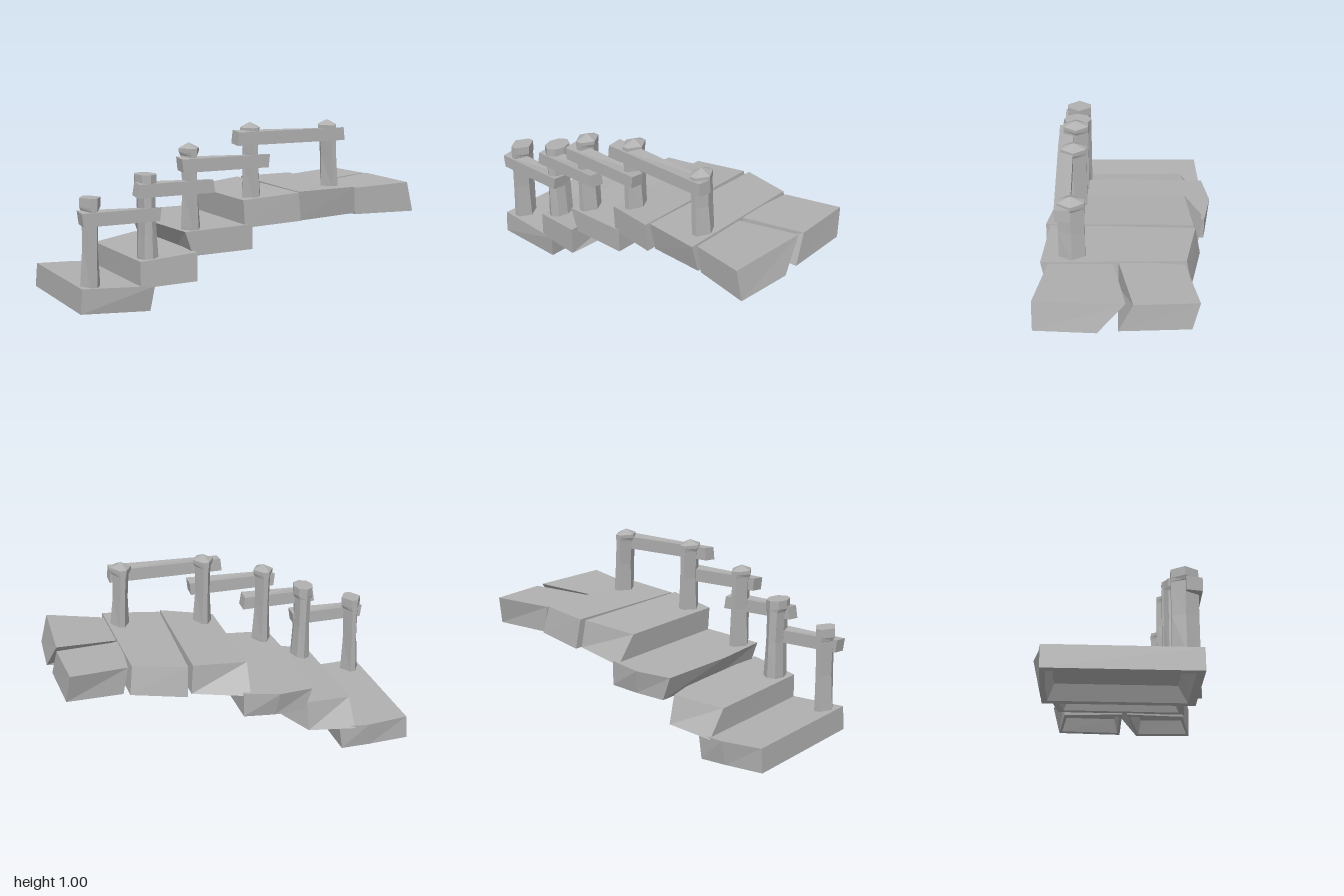
import * as THREE from 'three';

const stone = new THREE.MeshStandardMaterial({ color: 0xb0b0b0, flatShading: true });
stone.name = 'grey stone';

function addMesh(parent, name, geometry) {
  const mesh = new THREE.Mesh(geometry, stone);
  mesh.name = name;
  parent.add(mesh);
  return mesh;
}

// Tilted slab over an [x, z] outline (counter-clockwise from above), hollow underneath.
// top, bottom and shift hold values for the left and right ends; pulls move lower corners.
function slabGeometry({ outline, top, bottom, shift, pulls = [] }) {
  const n = outline.length;
  const xs = outline.map(p => p[0]);
  const min = Math.min(...xs), max = Math.max(...xs);
  const mix = ([a, b], x) => THREE.MathUtils.mapLinear(x, min, max, a, b);
  const upper = outline.map(([x, z]) => [x, mix(top, x), z]);
  const lower = outline.map(([x, z]) => [x + mix(shift, x), mix(bottom, x), z]);
  for (const { corner, x = 0, y = 0, z = 0 } of pulls) {
    lower[corner] = lower[corner].map((v, k) => v + [x, y, z][k]);
  }
  const mean = k => lower.reduce((sum, p) => sum + p[k], 0) / n;
  const cx = mean(0), cz = mean(2);
  const inset = (sx, sz, lift) => lower.map(([x, y, z]) =>
    [cx + (x - cx) * sx, y + lift, cz + (z - cz) * sz]);
  const rings = [upper, lower, inset(0.82, 0.91, 0), inset(0.6, 0.8, 0.08)];
  const index = [];
  for (let r = 0; r < 3; r++) {
    for (let i = 0; i < n; i++) {
      const j = (i + 1) % n, a = r * n, b = a + n;
      index.push(b + i, b + j, a + j, b + i, a + j, a + i);
    }
  }
  for (let i = 1; i < n - 1; i++) {
    index.push(0, i, i + 1);                       // walking surface
    index.push(3 * n, 3 * n + i + 1, 3 * n + i);   // recess ceiling
  }
  const g = new THREE.BufferGeometry();
  g.setAttribute('position', new THREE.Float32BufferAttribute(rings.flat(2), 3));
  g.setIndex(index);
  const flat = g.toNonIndexed();
  flat.computeVertexNormals();
  return flat;
}

// Faceted post, waisted across x only, with a flat or pointed top.
// pinch narrows the front and back facets towards a lozenge.
function addPost(parent, { x, base, top, sides, pinch, cap, lean }) {
  const h = top - base;
  const rings = [[-0.04, 0.95], [0, 0.95], [h * 0.45, 0.74], [h * 0.85, 0.78], [h - 0.07, 0.84], [h - 0.05, 1], [h - cap, 1]];
  const profile = [
    new THREE.Vector2(0, -0.04),
    ...rings.map(([y]) => new THREE.Vector2(0.06, y)),
    new THREE.Vector2(0, h),
  ];
  const g = new THREE.LatheGeometry(profile, sides, Math.PI / 2);
  const p = g.attributes.position;
  const perColumn = profile.length;
  for (let i = 0; i < p.count; i++) {
    const ring = rings[i % perColumn - 1];
    const width = (ring ? ring[1] : 1) * (Math.abs(p.getZ(i)) > 0.01 ? pinch : 1);
    p.setX(i, p.getX(i) * width + lean * (1 - p.getY(i) / h));
  }
  g.scale(1, 1, 1.38);
  g.computeVertexNormals();
  addMesh(parent, 'post', g).position.set(x, base, 0.29);
}

// Roughly hewn beam with slanted ends and a slight twist
function addRail(parent, { from, to, y, z, slant }) {
  const g = new THREE.BoxGeometry(to - from, 0.073, 0.085);
  const p = g.attributes.position;
  for (let i = 0; i < p.count; i++) {
    const sx = Math.sign(p.getX(i)), sy = Math.sign(p.getY(i)), sz = Math.sign(p.getZ(i));
    p.setX(i, p.getX(i) + slant * sy * sx);
    p.setY(i, p.getY(i) + 0.004 * sx * sz);
  }
  g.computeVertexNormals();
  addMesh(parent, 'rail', g).position.set((from + to) / 2, y, z);
}

// Steps from lowest to highest; outlines start at the front left corner
const steps = [
  {
    outline: [[-0.99, 0.38], [-0.58, 0.385], [-0.58, -0.44], [-0.75, -0.47], [-0.99, -0.45]],
    top: [0.155, 0.14], bottom: [0.02, 0], shift: [-0.01, -0.02],
    pulls: [{ corner: 1, z: -0.02 }, { corner: 3, z: 0.02 }],
  },
  {
    outline: [[-0.66, 0.38], [-0.35, 0.43], [-0.36, -0.25], [-0.39, -0.41], [-0.67, -0.34]],
    top: [0.275, 0.315], bottom: [0.13, 0.155], shift: [0, 0],
    pulls: [{ corner: 2, x: 0.07, y: 0.015 }, { corner: 3, z: -0.04 }, { corner: 4, z: -0.12 }],
  },
  {
    outline: [[-0.4, 0.38], [0, 0.39], [0, -0.46], [-0.2, -0.5], [-0.4, -0.46], [-0.42, 0.03]],
    top: [0.42, 0.44], bottom: [0.285, 0.3], shift: [0.05, 0],
    pulls: [{ corner: 3, z: 0.03 }, { corner: 5, x: 0.05, y: -0.025 }],
  },
  {
    outline: [[-0.05, 0.38], [0.26, 0.445], [0.27, -0.38], [-0.05, -0.34]],
    top: [0.575, 0.61], bottom: [0.42, 0.45], shift: [0.01, 0.015],
    pulls: [{ corner: 2, z: -0.02 }, { corner: 3, z: -0.12 }],
  },
  {
    outline: [[0.27, 0.42], [0.61, 0.46], [0.6, -0.33], [0.3, -0.39]],
    top: [0.61, 0.625], bottom: [0.44, 0.47], shift: [0.01, 0.02],
    pulls: [{ corner: 0, z: -0.03 }, { corner: 1, z: -0.03 }, { corner: 2, z: -0.03 }, { corner: 3, z: -0.03 }],
  },
  // Broken landing, front and back halves
  {
    outline: [[0.61, 0.42], [0.94, 0.49], [0.96, 0], [0.59, 0.07]],
    top: [0.61, 0.64], bottom: [0.46, 0.47], shift: [0.03, 0.04],
    pulls: [{ corner: 2, z: 0.15 }],
  },
  {
    outline: [[0.59, 0.04], [0.965, -0.04], [0.95, -0.39], [0.62, -0.32]],
    top: [0.615, 0.635], bottom: [0.46, 0.47], shift: [0.03, 0.02],
    pulls: [{ corner: 1, z: 0.08 }, { corner: 2, z: 0.04 }],
  },
];

const lozenge = { sides: 6, pinch: 0.6 };
const posts = [
  { ...lozenge, x: -0.91, base: 0.14, top: 0.63, cap: 0, lean: -0.005 },
  { sides: 8, pinch: 1, x: -0.595, base: 0.29, top: 0.74, cap: 0, lean: 0.01 },
  { ...lozenge, x: -0.34, base: 0.44, top: 0.9, cap: 0.03, lean: 0.01 },
  { ...lozenge, x: 0.03, base: 0.58, top: 1, cap: 0.03, lean: 0.01 },
  { ...lozenge, x: 0.52, base: 0.61, top: 1, cap: 0.03, lean: 0.02 },
];

const rails = [
  { from: -0.98, to: -0.54, y: 0.523, z: 0.335, slant: 0.005 },
  { from: -0.665, to: -0.225, y: 0.66, z: 0.335, slant: -0.006 },
  { from: -0.415, to: 0.105, y: 0.785, z: 0.345, slant: 0.004 },
  { from: -0.08, to: 0.585, y: 0.918, z: 0.335, slant: -0.004 },
];

export function createModel() {
  const model = new THREE.Group();
  model.name = 'stoneStairway';
  const stairs = new THREE.Group();
  stairs.name = 'steps';
  const railing = new THREE.Group();
  railing.name = 'railing';
  model.add(stairs, railing);
  for (const step of steps) addMesh(stairs, 'step', slabGeometry(step));
  for (const post of posts) addPost(railing, post);
  for (const rail of rails) addRail(railing, rail);
  return model;
}
